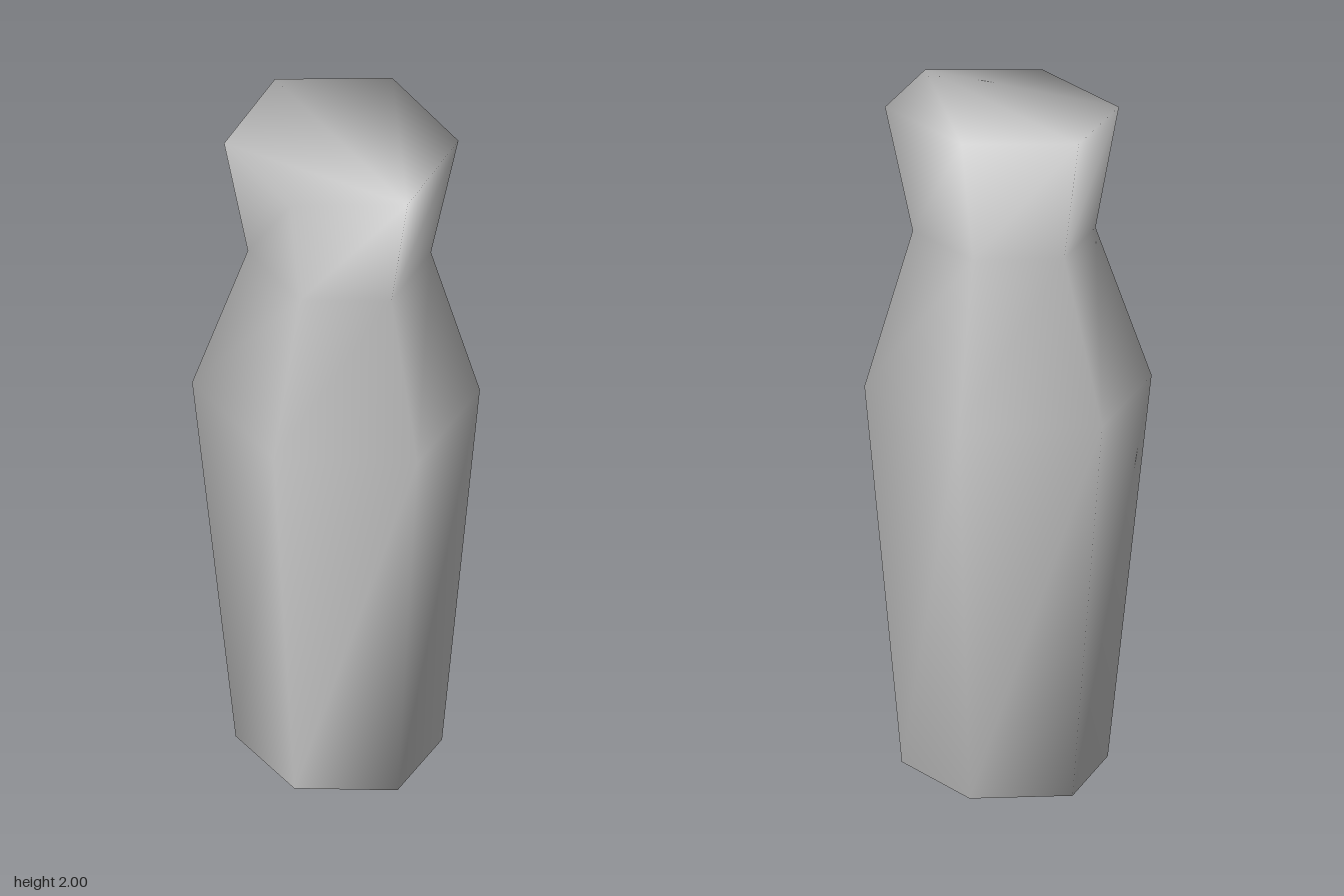
import * as THREE from 'three';

const SIDES = 6;

// Cross-sections from foot to rim: height, half width, half depth, z offset, tilt along x and z
const RINGS = [
  { y: 0, rx: 0.24, rz: 0.313, cz: 0.015, tx: 0, tz: 0 },
  { y: 1.155, rx: 0.335, rz: 0.435, cz: 0, tx: 0.008, tz: -0.034 },
  { y: 1.61, rx: 0.213, rz: 0.278, cz: 0.018, tx: 0.035, tz: -0.036 },
  { y: 1.978, rx: 0.273, rz: 0.354, cz: 0.028, tx: 0.06, tz: -0.035 },
];

// Closed hexagonal loft; corners are shared so the shading stays smooth
function loftGeometry(rings) {
  const positions = [];
  const index = [];
  for (const r of rings) {
    for (let i = 0; i < SIDES; i++) {
      const a = (i / SIDES) * Math.PI * 2;
      const x = (r.rx / Math.cos(Math.PI / 6)) * Math.sin(a);
      const z = r.cz + r.rz * Math.cos(a);
      positions.push(x, r.y + r.tx * x + r.tz * z, z);
    }
  }
  // Walls
  for (let k = 0; k < rings.length - 1; k++) {
    for (let i = 0; i < SIDES; i++) {
      const j = (i + 1) % SIDES;
      const a = k * SIDES + i;
      const b = k * SIDES + j;
      index.push(a, b, b + SIDES, a, b + SIDES, a + SIDES);
    }
  }
  // Foot and mouth faces
  const top = (rings.length - 1) * SIDES;
  for (let i = 1; i < SIDES - 1; i++) {
    index.push(0, i + 1, i);
    index.push(top, top + i, top + i + 1);
  }
  const geometry = new THREE.BufferGeometry();
  geometry.setAttribute('position', new THREE.Float32BufferAttribute(positions, 3));
  geometry.setIndex(index);
  geometry.computeVertexNormals();
  return geometry;
}

export function createModel() {
  const group = new THREE.Group();
  group.name = 'vase';

  const clay = new THREE.MeshStandardMaterial({ color: 0xcccccc });
  clay.name = 'light grey';

  const body = new THREE.Mesh(loftGeometry(RINGS), clay);
  body.name = 'vaseBody';
  group.add(body);
  return group;
}
